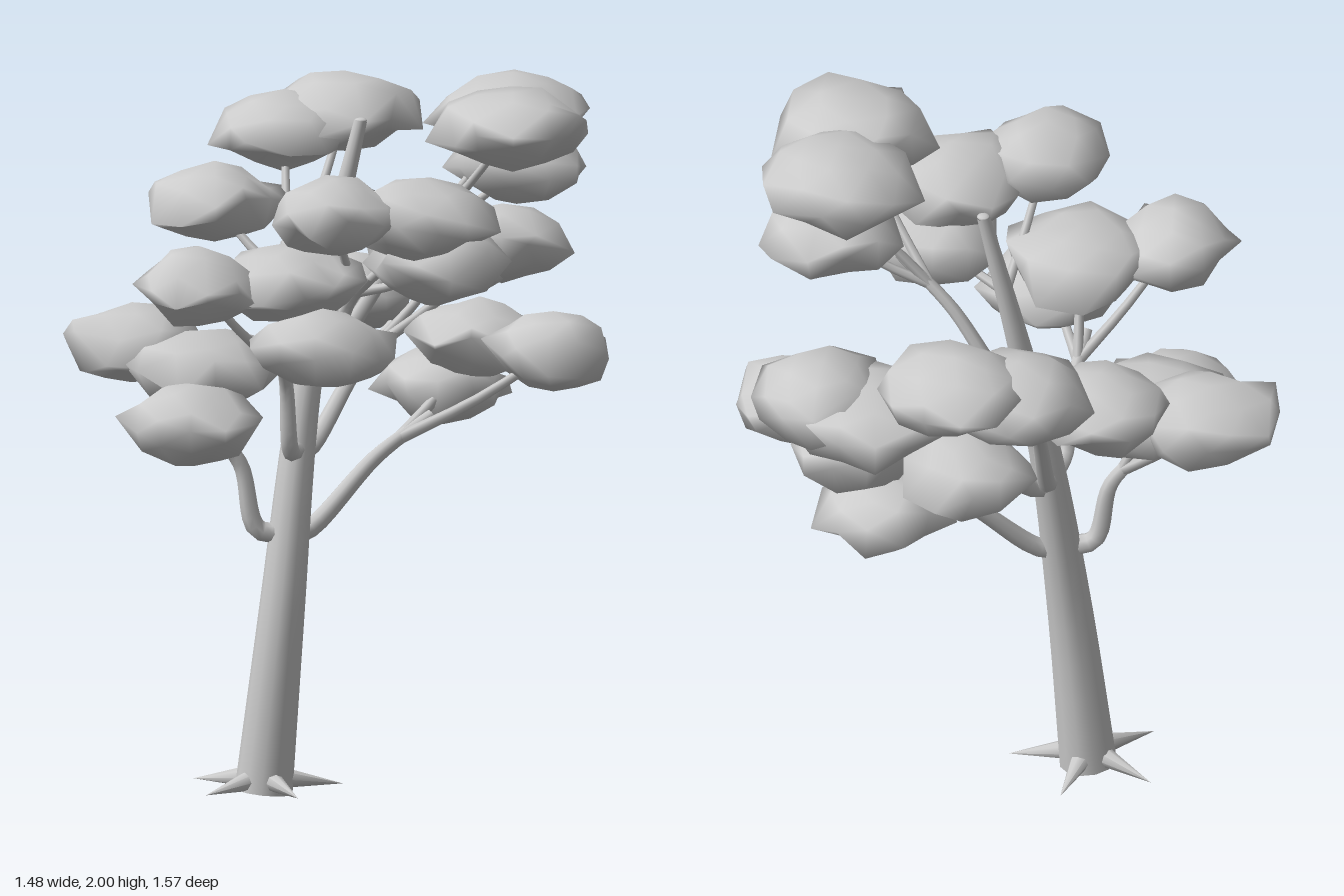
import * as THREE from 'three';
import { mergeVertices } from 'three/addons/utils/BufferGeometryUtils.js';

const material = new THREE.MeshStandardMaterial({ color: 0xcccccc });

// Small seeded generator for the irregular foliage
let seed = 7;
const rand = () => {
  seed = (seed * 16807) % 2147483647;
  return seed / 2147483647;
};

function add(parent, name, geometry) {
  const mesh = new THREE.Mesh(geometry, material);
  mesh.name = name;
  parent.add(mesh);
  return mesh;
}

// Tube along a curve whose radius runs from r0 to r1
function taperedTube(curve, r0, r1, segments, sides) {
  const geo = new THREE.TubeGeometry(curve, segments, 1, sides);
  const pos = geo.attributes.position;
  const v = new THREE.Vector3();
  for (let i = 0; i < pos.count; i++) {
    const u = Math.floor(i / (sides + 1)) / segments;
    const centre = curve.getPointAt(u);
    v.fromBufferAttribute(pos, i).sub(centre);
    v.multiplyScalar(THREE.MathUtils.lerp(r0, r1, u)).add(centre);
    pos.setXYZ(i, v.x, v.y, v.z);
  }
  return geo;
}

// Flattened low-poly leaf clump: a dome over a cone with a jagged rim, smooth normals
function leafClump(radius) {
  let geo = new THREE.IcosahedronGeometry(1, 1);
  geo.deleteAttribute('normal');
  geo.deleteAttribute('uv');
  geo = mergeVertices(geo, 1e-3);
  geo.rotateY(rand() * 6.28);
  const pos = geo.attributes.position;
  for (let i = 0; i < pos.count; i++) {
    const y = pos.getY(i);
    const rim = 1 - Math.abs(y);
    const spread = radius * (0.87 + rand() * 0.34 * rim - (y < 0 ? 0.12 * -y : 0));
    const lift = (rand() - 0.5) * (0.15 + 0.55 * rim);
    pos.setXYZ(i, pos.getX(i) * spread, (y + lift) * 0.11, pos.getZ(i) * spread);
  }
  geo.computeVertexNormals();
  return geo;
}

// Each limb: how far up the trunk it starts, how far out its elbow lies,
// and its leaf clumps as x, y, z, radius
const limbs = [
  // low left, low right
  { from: 0.38, elbow: 0.1, clumps: [[0.38, 1.05, -0.07, 0.18], [0.44, 1.2, 0.03, 0.19], [0.54, 1.2, 0.29, 0.17]] },
  { from: 0.385, elbow: 0.28, clumps: [[-0.53, 1.07, 0.23, 0.18], [-0.53, 1.23, -0.16, 0.2], [-0.41, 1.18, 0.02, 0.21]] },
  // middle left, middle right
  { from: 0.5, elbow: 0.1, clumps: [[0.43, 1.4, -0.14, 0.22], [0.55, 1.44, -0.06, 0.185], [0.2, 1.29, -0.3, 0.18]] },
  { from: 0.51, elbow: 0.28, clumps: [[-0.27, 1.31, 0.51, 0.2], [-0.57, 1.48, 0.36, 0.185], [-0.31, 1.47, 0.38, 0.21]] },
  // back
  { from: 0.515, elbow: 0.1, clumps: [[-0.13, 1.54, -0.47, 0.185], [0.14, 1.7, -0.59, 0.2], [0.32, 1.74, -0.58, 0.21]] },
  // upper front, upper left
  { from: 0.63, elbow: 0.25, clumps: [[0.07, 1.52, 0.54, 0.19], [0, 1.66, 0.58, 0.2], [-0.27, 1.69, 0.58, 0.18]] },
  { from: 0.645, elbow: 0.1, clumps: [[0.43, 1.73, 0.31, 0.19], [0.4, 1.88, 0.32, 0.215], [0.29, 1.885, 0.55, 0.21]] },
];

// Bough that leaves the trunk almost level, then turns up towards its clumps
function boughCurve(start, hub, elbow) {
  const step = (across, up) => {
    const p = start.clone().lerp(hub, across);
    p.y = THREE.MathUtils.lerp(start.y, hub.y, up);
    return p;
  };
  return new THREE.CatmullRomCurve3([start, step(elbow, 0.03), step(0.43, 0.45), step(0.7, 0.68)]);
}

export function createModel() {
  seed = 7;
  const tree = new THREE.Group();
  tree.name = 'tree';

  // Leaning trunk with closed ends
  const foot = new THREE.Vector3(-0.253, 0, 0.1);
  const top = new THREE.Vector3(0.05, 1.85, 0.085);
  const trunkCurve = new THREE.CatmullRomCurve3([
    foot,
    new THREE.Vector3(-0.205, 0.5, 0.115),
    new THREE.Vector3(-0.125, 1.05, 0.08),
    new THREE.Vector3(-0.04, 1.45, 0.06),
    top,
  ]);
  add(tree, 'trunk', taperedTube(trunkCurve, 0.08, 0.018, 16, 12));
  const tip = add(tree, 'trunkTip', new THREE.SphereGeometry(0.018, 12, 6));
  tip.scale.y = 0.4;
  tip.position.copy(top);
  const base = add(tree, 'trunkBase', new THREE.CircleGeometry(0.08, 12));
  base.rotation.x = Math.PI / 2;
  base.position.copy(foot);

  // Five pointed roots spreading from the foot, one towards the front
  const roots = new THREE.Group();
  roots.name = 'roots';
  roots.position.copy(foot);
  tree.add(roots);
  for (let i = 0; i < 5; i++) {
    const root = new THREE.ConeGeometry(0.035, 0.2, 8);
    root.rotateZ(-Math.PI / 2 - 0.12);
    root.translate(0.12, 0.028, 0);
    add(roots, 'root', root).rotation.y = (i * Math.PI * 2) / 5 - Math.PI / 2;
  }

  // Boughs, their twigs and the leaf clumps they carry
  for (const { from, elbow, clumps } of limbs) {
    const limb = new THREE.Group();
    limb.name = 'limb';
    tree.add(limb);
    const hub = new THREE.Vector3();
    for (const [x, y, z] of clumps) hub.add(new THREE.Vector3(x, y, z));
    hub.divideScalar(clumps.length);
    const curve = boughCurve(trunkCurve.getPointAt(from), hub, elbow);
    const r = 0.034 - from * 0.018;
    add(limb, 'bough', taperedTube(curve, r * 1.1, r * 0.65, 16, 8));

    for (const [x, y, z, radius] of clumps) {
      const start = curve.getPoint(0.8);
      const centre = new THREE.Vector3(x, y, z);
      const bend = start.clone().lerp(centre, 0.5);
      bend.y -= 0.015;
      const twig = new THREE.CatmullRomCurve3([start, bend, centre]);
      add(limb, 'twig', taperedTube(twig, r * 0.65, r * 0.4, 6, 6));
      add(limb, 'leafClump', leafClump(radius)).position.copy(centre);
    }
  }
  return tree;
}
